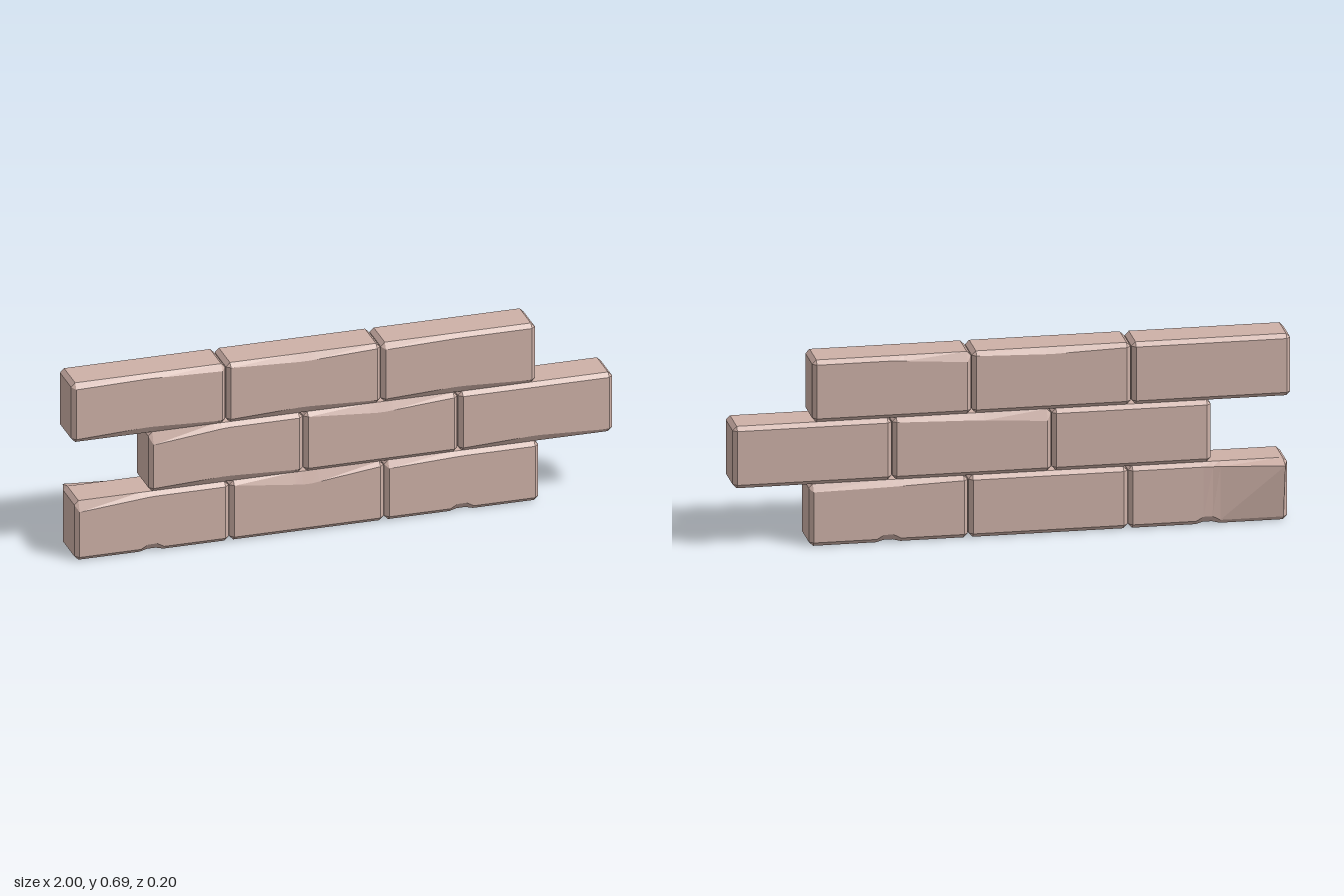
import * as THREE from 'three';

const CHAMFER = 0.015;
const FRONT = 0.1, BACK = -0.06;
const ROW_HEIGHT = 0.2287;

// Linear blend through left, middle and right values
const blend = ([l, m, r], t) => (t < 0.5 ? l + (m - l) * t * 2 : m + (r - m) * (t * 2 - 1));

// Chamfered brick lofted along x; the wear values shift its long edges
function brickGeometry(x0, x1, y0, wear) {
  const { frontTop = [0, 0, 0], backTop = [0, 0, 0], under = 0, notch = 0, spike = 0 } = wear;
  const y1 = y0 + ROW_HEIGHT, c = CHAMFER;
  const a = x0 + c, b = x1 - c;
  const zf = FRONT - c, zb = BACK + c;
  const rings = [];

  const cap = (x) => {
    const lo = y0 + c, hi = y1 - c;
    return [[x, hi, zb], [x, hi, zf], [x, hi, zf], [x, lo, zf],
      [x, lo, zf], [x, lo, zb], [x, lo, zb], [x, hi, zb]];
  };

  rings.push(cap(x0));
  for (const t of [0, 0.42, 0.47, 0.53, 0.58, 1]) {
    const x = a + (b - a) * t;
    const chip = t > 0.45 && t < 0.55 ? notch : 0;
    const lift = blend([0, under, 0], t) + chip;
    rings.push([
      [x, y1, zb],
      [x, y1, zf],
      [x, y1 - c - blend(frontTop, t), FRONT],
      [x, y0 + c + lift, FRONT],
      [x, y0 + chip * 0.5, zf],
      [x, y0 + chip * 0.5, zb],
      [x, y0 + c + chip, BACK],
      [x, y1 - c - blend(backTop, t), BACK - blend([spike, 0, 0], t)],
    ]);
  }
  rings.push(cap(x1));

  const index = [], n = 8, last = (rings.length - 1) * n;
  for (let i = 0; i < rings.length - 1; i++) {
    for (let k = 0; k < n; k++) {
      const p = i * n + k, q = i * n + (k + 1) % n;
      index.push(p, q, p + n, q, q + n, p + n);
    }
  }
  // End faces
  for (let k = 1; k < n - 1; k++) {
    index.push(0, k + 1, k, last, last + k, last + k + 1);
  }
  const geometry = new THREE.BufferGeometry();
  geometry.setAttribute('position', new THREE.Float32BufferAttribute(rings.flat(2), 3));
  geometry.setIndex(index);
  geometry.computeVertexNormals();
  return geometry;
}

export function createModel() {
  const wall = new THREE.Group();
  wall.name = 'brickWall';
  const clay = new THREE.MeshStandardMaterial({ color: 0xcdb0a7, flatShading: true });
  clay.name = 'paleClay';

  // Three staggered courses, each with three worn bricks
  const courses = [
    { name: 'bottomCourse', start: -0.988, bricks: [
      { frontTop: [0.024, 0, 0], notch: 0.015, spike: 0.038 },
      { frontTop: [0, 0.032, 0] },
      { frontTop: [0.012, 0, 0], backTop: [0, 0.008, 0.012], notch: 0.015 },
    ] },
    { name: 'middleCourse', start: -0.715, bricks: [
      { frontTop: [0.03, 0, 0], under: 0.012 },
      { frontTop: [0, 0.02, 0], backTop: [0.025, 0.008, 0] },
      { under: 0.012 },
    ] },
    { name: 'topCourse', start: -1, bricks: [
      { frontTop: [0.006, 0, 0.008], under: 0.012 },
      { frontTop: [0, 0.012, 0], backTop: [0, 0.008, 0], under: 0.012 },
      { frontTop: [0.008, 0, 0], backTop: [0.02, 0, 0], under: 0.012 },
    ] },
  ];

  courses.forEach(({ name, start, bricks }, row) => {
    const course = new THREE.Group();
    course.name = name;
    bricks.forEach((wear, i) => {
      const x0 = start + i * 0.5715;
      const brick = new THREE.Mesh(
        brickGeometry(x0, x0 + 0.569, row * ROW_HEIGHT + 0.001, wear), clay);
      brick.name = 'brick' + (i + 1);
      course.add(brick);
    });
    wall.add(course);
  });
  return wall;
}
